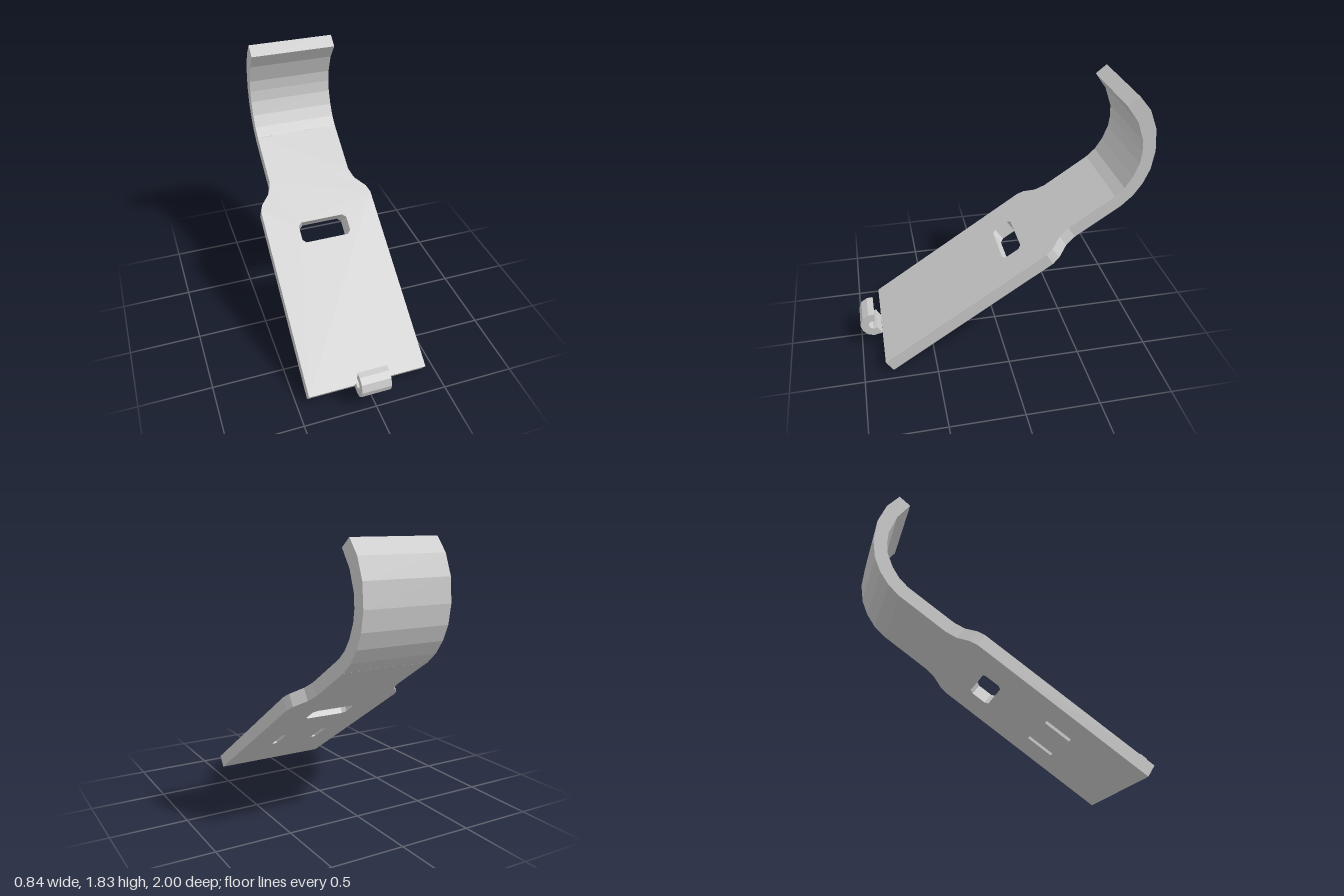
import * as THREE from 'three';
import { mergeGeometries } from 'three/addons/utils/BufferGeometryUtils.js';

const material = new THREE.MeshStandardMaterial({ color: 0xcccccc, flatShading: true });
const THICK = 0.09, LENGTH = 1.922;
const toPoints = list => list.map(([x, y]) => new THREE.Vector2(x, y));

// Strip of quads joining a loop at height z0 to a matching loop at z1.
// Counter-clockwise loops face outward, clockwise loops face inward.
function wall(low, high, z0, z1) {
  const pos = [];
  low.forEach((a, i) => {
    const j = (i + 1) % low.length, b = low[j], c = high[j], d = high[i];
    pos.push(a.x, a.y, z0, b.x, b.y, z0, c.x, c.y, z1);
    pos.push(a.x, a.y, z0, c.x, c.y, z1, d.x, d.y, z1);
  });
  const g = new THREE.BufferGeometry();
  g.setAttribute('position', new THREE.Float32BufferAttribute(pos, 3));
  return g;
}

// Flat face with holes; down-facing faces are turned over (all outlines mirror in x).
function face(outline, holes, z, down = false) {
  const shape = new THREE.Shape(outline);
  holes.forEach(h => shape.holes.push(new THREE.Path(h)));
  let g = new THREE.ShapeGeometry(shape);
  if (down) g.rotateY(Math.PI);
  g.translate(0, 0, z);
  g = g.toNonIndexed();
  g.deleteAttribute('uv');
  g.deleteAttribute('normal');
  return g;
}

// Side profile given as [z, y], extruded across x.
function profile(name, points, width) {
  const g = new THREE.ExtrudeGeometry(new THREE.Shape(toPoints(points)), { depth: width, bevelEnabled: false });
  g.translate(0, 0, -width / 2);
  g.rotateY(-Math.PI / 2);
  const mesh = new THREE.Mesh(g, material);
  mesh.name = name;
  return mesh;
}

// Clockwise slot with cut corners
function slot(cx, cy, hw, hh, cut) {
  return toPoints([
    [-hw, -hh + cut], [-hw, hh - cut], [-hw + cut, hh], [hw - cut, hh],
    [hw, hh - cut], [hw, -hh + cut], [hw - cut, -hh], [-hw + cut, -hh],
  ].map(([x, y]) => [cx + x, cy + y]));
}

function makePlate() {
  // Outline: wide body stepping in to a narrow neck
  const right = [[0.42, 0], [0.42, 1.336], [0.4, 1.39], [0.33, 1.47], [0.305, 1.55], [0.305, LENGTH]];
  const left = right.map(([x, y]) => [-x, y]).reverse();
  const outline = toPoints([...right, ...left]);

  // Strap hole, narrower on the underside
  const holeTop = slot(0, 1.123, 0.182, 0.077, 0.025);
  const holeLow = slot(0, 1.128, 0.16, 0.077, 0.025);

  // Two shallow pockets in the underside
  const pockets = [-1, 1].map(s => slot(s * 0.165, 0.587, 0.02, 0.1, 0.004));
  const depth = 0.04;

  const geometry = mergeGeometries([
    wall(outline, outline, 0, THICK),
    wall(holeLow, holeTop, 0, THICK),
    face(outline, [holeTop], THICK),
    face(outline, [holeLow, ...pockets], 0, true),
    ...pockets.map(p => wall(p, p, 0, depth)),
    ...pockets.map(p => face(p, [], depth, true)),
  ]);
  geometry.computeVertexNormals();
  const plate = new THREE.Mesh(geometry, material);
  plate.name = 'slopingPlate';
  plate.rotation.x = -Math.atan2(0.8325, 0.554);
  plate.position.set(0, 0.003, 0.8);
  return plate;
}

export function createModel() {
  const group = new THREE.Group();
  group.name = 'hookBracket';
  group.add(makePlate());

  // Curved hook continuing from the neck
  group.add(profile('curvedHook', [
    [-0.8, 1.068], [-0.874, 1.136], [-0.933, 1.222], [-0.976, 1.324], [-0.995, 1.452],
    [-0.981, 1.607], [-0.928, 1.74], [-0.848, 1.835],
    [-0.773, 1.776], [-0.853, 1.666], [-0.901, 1.532], [-0.906, 1.45], [-0.896, 1.37],
    [-0.858, 1.275], [-0.81, 1.2], [-0.75, 1.143],
  ], 0.61));

  // Small C-shaped clip on the lower edge
  group.add(profile('lowerClip', [
    [0.896, 0.254], [0.939, 0.251], [0.981, 0.222], [1, 0.168], [0.987, 0.12],
    [0.955, 0.083], [0.912, 0.067], [0.85, 0.08],
    [0.882, 0.136], [0.912, 0.126], [0.939, 0.147], [0.944, 0.174], [0.922, 0.195], [0.896, 0.195],
  ], 0.206));
  return group;
}
